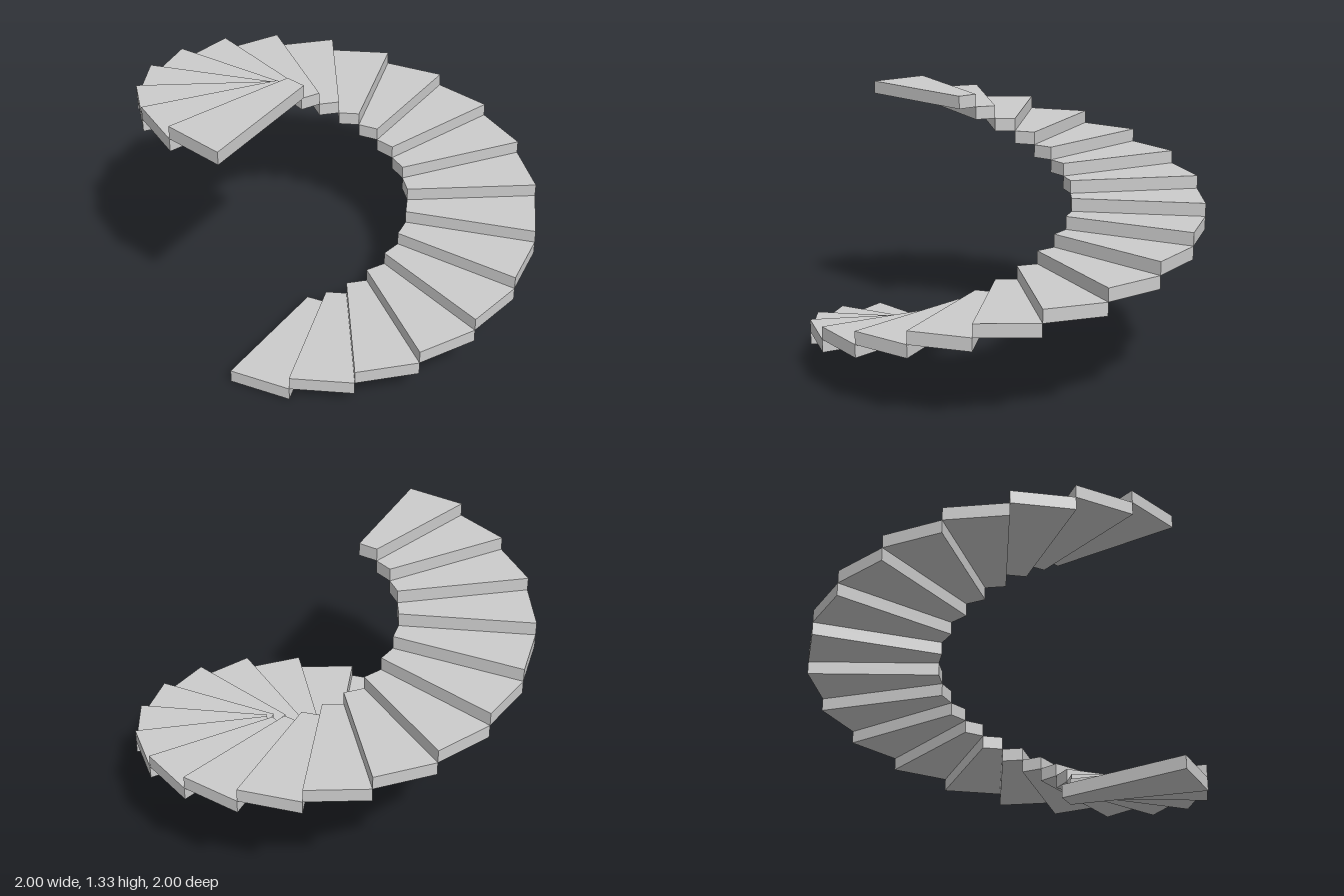
import * as THREE from 'three';

const STEPS = 20;
const TURN = (Math.PI * 2) / STEPS;
const RISE = 1 / 15;
const INNER = 1 / 3;
const OUTER = 1;

// Wedge-shaped tread spanning one turn angle, starting at +z and opening towards +x
function treadGeometry() {
  const s = Math.sin(TURN), c = Math.cos(TURN);
  const shape = new THREE.Shape([
    new THREE.Vector2(0, -INNER),
    new THREE.Vector2(0, -OUTER),
    new THREE.Vector2(OUTER * s, -OUTER * c),
    new THREE.Vector2(INNER * s, -INNER * c),
  ]);
  const geometry = new THREE.ExtrudeGeometry(shape, { depth: RISE, bevelEnabled: false });
  return geometry.rotateX(-Math.PI / 2);
}

export function createModel() {
  const staircase = new THREE.Group();
  staircase.name = 'spiralStaircase';
  const material = new THREE.MeshStandardMaterial({ color: 0xcccccc, flatShading: true });
  const geometry = treadGeometry();

  // One full turn of treads, each one rise above the last
  for (let i = 0; i < STEPS; i++) {
    const step = new THREE.Mesh(geometry, material);
    step.name = `step${i + 1}`;
    step.position.y = i * RISE;
    step.rotation.y = i * TURN;
    staircase.add(step);
  }
  return staircase;
}
